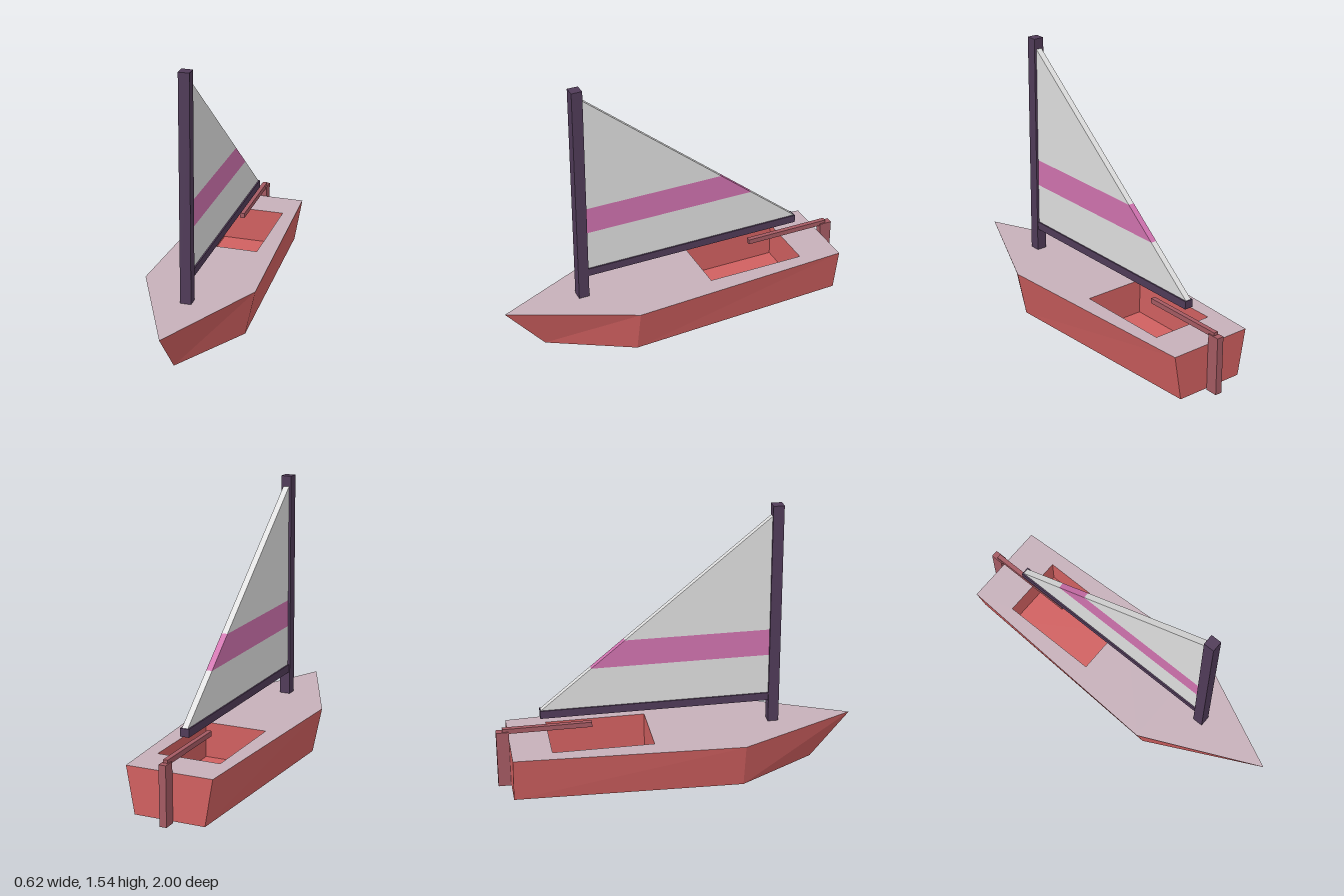
import * as THREE from 'three';

const mat = (name, color) => Object.assign(new THREE.MeshStandardMaterial({ color }), { name });

export function createModel() {
  const boat = new THREE.Group();
  boat.name = 'sailboat';
  const hullRed = mat('hull red', 0xd06060);
  const deckMauve = mat('deck mauve', 0xc6b0ba);
  const sailWhite = mat('sail white', 0xdedede);
  const stripePink = mat('stripe pink', 0xcf72ae);
  const mastPurple = mat('mast purple', 0x503b58);
  const rudderBrown = mat('rudder brown', 0xa45a62);

  const add = (name, geometry, material) => {
    const mesh = new THREE.Mesh(geometry, material);
    mesh.name = name;
    boat.add(mesh);
    return mesh;
  };
  // Box given by its half width and its y and z limits
  const bar = (name, halfW, y0, y1, z0, z1, material) =>
    add(name, new THREE.BoxGeometry(2 * halfW, y1 - y0, z1 - z0), material)
      .position.set(0, (y0 + y1) / 2, (z0 + z1) / 2);
  // Flat-shaded wall between two rings of [x, z] points
  const wall = (low, yLow, high, yHigh) => {
    const p = [];
    low.forEach((a, i) => {
      const j = (i + 1) % low.length, b = low[j], c = high[j], d = high[i];
      const A = [a[0], yLow, a[1]], B = [b[0], yLow, b[1]];
      const C = [c[0], yHigh, c[1]], D = [d[0], yHigh, d[1]];
      p.push(...A, ...B, ...C, ...A, ...C, ...D);
    });
    const g = new THREE.BufferGeometry();
    g.setAttribute('position', new THREE.Float32BufferAttribute(p, 3));
    g.computeVertexNormals();
    return g;
  };
  const points = (ring, s) => ring.map(([x, z]) => new THREE.Vector2(x, s * z));
  const plateUp = (ring, y, hole) => {
    const shape = new THREE.Shape(points(ring, -1));
    if (hole) shape.holes.push(new THREE.Path(points(hole, -1)));
    return new THREE.ShapeGeometry(shape).rotateX(-Math.PI / 2).translate(0, y, 0);
  };

  // Hull, with a pointed raked bow and sides that flare upward
  const TOP = 0.27, BOTTOM = 0.01, FLOOR = 0.07;
  const outline = (bowZ, midX, sternX) =>
    [[0, bowZ], [midX, 0.335], [sternX, -0.93], [-sternX, -0.93], [-midX, 0.335]];
  const rim = outline(1, 0.31, 0.245);
  const keel = outline(0.78, 0.255, 0.2);
  const well = [[0.18, -0.15], [0.18, -0.71], [-0.18, -0.71], [-0.18, -0.15]];
  add('hullSides', wall(keel, BOTTOM, rim, TOP), hullRed);
  add('hullBottom', new THREE.ShapeGeometry(new THREE.Shape(points(keel, 1)))
    .rotateX(Math.PI / 2).translate(0, BOTTOM, 0), hullRed);
  add('deck', plateUp(rim, TOP, well), deckMauve);

  // Sunken cockpit
  const inward = [...well].reverse();
  add('cockpitWalls', wall(inward, FLOOR, inward, TOP), hullRed);
  add('cockpitFloor', plateUp(well, FLOOR), hullRed);

  // Mast, boom, rudder and tiller
  bar('mast', 0.03, TOP, 1.545, 0.52, 0.58, mastPurple);
  bar('boom', 0.025, 0.4, 0.445, -0.755, 0.52, mastPurple);
  bar('rudder', 0.02, 0, 0.33, -1, -0.93, rudderBrown);
  bar('tiller', 0.013, 0.318, 0.347, -0.965, -0.47, rudderBrown);

  // Triangular sail cut into three bands
  const luff = 0.52, foot = 0.445, head = 1.485, clew = -0.75;
  const leech = y => luff + (clew - luff) * (head - y) / (head - foot);
  const band = (name, y0, y1, material) => {
    const corners = [[luff, y0], [luff, y1], [leech(y1), y1], [leech(y0), y0]];
    if (y1 === head) corners.splice(2, 1);
    const shape = new THREE.Shape(points(corners, 1));
    add(name, new THREE.ExtrudeGeometry(shape, { depth: 0.034, bevelEnabled: false })
      .translate(0, 0, -0.017).rotateY(-Math.PI / 2), material);
  };
  band('sailLower', foot, 0.675, sailWhite);
  band('sailStripe', 0.675, 0.828, stripePink);
  band('sailUpper', 0.828, head, sailWhite);

  return boat;
}
